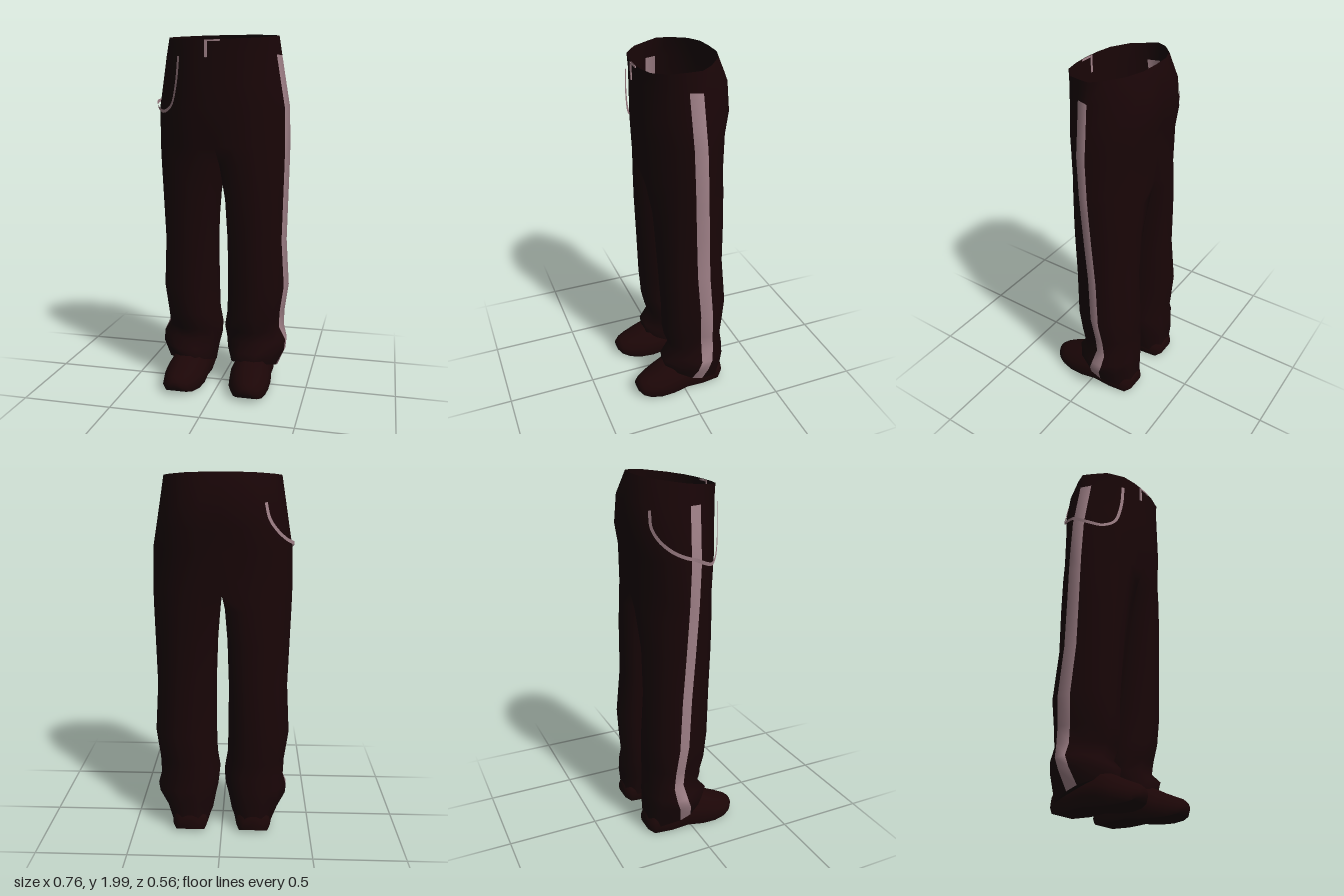
import * as THREE from 'three';
import { toCreasedNormals } from 'three/addons/utils/BufferGeometryUtils.js';

// Trouser rows, hem to waist: y, tilt (dy per z), inner x, outer x, front z, back z, stripe z,
// section blend (0 leg, 1 torso, 2 waist)
const ROWS = [
  [0.125, 0.35, 0.055, 0.318, 0.115, -0.255, -0.060, 0],
  [0.205, 0.10, 0.035, 0.362, 0.118, -0.262, -0.080, 0],
  [0.262, 0.05, 0.022, 0.366, 0.064, -0.258, -0.100, 0],
  [0.330, 0.00, 0.014, 0.346, 0.088, -0.250, -0.110, 0],
  [0.420, 0.00, 0.030, 0.350, 0.108, -0.256, -0.103, 0],
  [0.580, 0.00, 0.035, 0.374, 0.116, -0.260, -0.090, 0],
  [0.850, 0.00, 0.036, 0.360, 0.132, -0.240, -0.070, 0.2],
  [1.100, 0.00, 0.028, 0.368, 0.148, -0.243, -0.055, 0.45],
  [1.290, 0.00, 0.013, 0.374, 0.160, -0.245, -0.045, 0.75],
  [1.390, 0.00, 0.000, 0.376, 0.168, -0.246, -0.040, 1],
  [1.600, 0.00, 0.000, 0.372, 0.180, -0.250, -0.030, 1],
  [1.720, 0.00, 0.000, 0.352, 0.185, -0.276, -0.025, 1.15],
  [1.875, 0.00, 0.000, 0.327, 0.185, -0.270, -0.018, 1.6],
  [1.972, -0.12, 0.000, 0.310, 0.187, -0.218, -0.018, 2],
];
const CROTCH = 9, STRIPE_TOP = 12, STRIPE_COL = 4, STRIPE_HALF = 0.032;

// Section corners as [u, v]: u inner to outer, v back to front; null marks the stripe edges
const SECTIONS = [
  [[0.1, 0.62], [0.3, 0.92], [0.6, 0.95], [0.855, 0.6], null, null,
    [0.85, -0.68], [0.61, -0.96], [0.3, -0.96], [0.1, -0.65], [0, -0.2], [0, 0.25]],
  [[0, 1], [0.3, 0.97], [0.56, 0.84], [0.81, 0.49], null, null,
    [0.83, -0.58], [0.57, -0.88], [0.3, -0.99], [0, -1], [0, -0.4], [0, 0.4]],
  [[0, 1], [0.3, 0.97], [0.58, 0.87], [0.84, 0.54], null, null,
    [0.87, -0.48], [0.61, -0.82], [0.33, -0.98], [0, -1], [0, -0.4], [0, 0.4]],
];
const N = SECTIONS[0].length;

function trouserRing([y, tilt, xi, xo, zf, zb, zs, blend]) {
  const s = Math.min(Math.floor(blend), 1), k = blend - s;
  return SECTIONS[s].map((from, i) => {
    // The stripe turns slightly to the front above the shin
    const isFrontEdge = i === STRIPE_COL;
    let x = xo - (isFrontEdge && y > 0.3 ? 0.02 : 0);
    let z = zs + (isFrontEdge ? STRIPE_HALF : -STRIPE_HALF);
    if (from) {
      const to = SECTIONS[s + 1][i];
      x = xi + (xo - xi) * THREE.MathUtils.lerp(from[0], to[0], k);
      z = (zf + zb) / 2 + THREE.MathUtils.lerp(from[1], to[1], k) * (zf - zb) / 2;
    }
    return [x, y + tilt * z, z];
  });
}

function makeGeometry(points, indices) {
  const g = new THREE.BufferGeometry();
  g.setAttribute('position', new THREE.Float32BufferAttribute(points.flat(), 3));
  g.setIndex(indices);
  g.computeVertexNormals();
  return g;
}

// One half of the trousers: a full tube below the crotch, a half shell above it
function trouserHalf(side) {
  const cloth = [], stripe = [];
  const points = ROWS.flatMap(trouserRing).map(([x, y, z]) => [x * side, y, z]);
  for (let j = 0; j < ROWS.length - 1; j++) {
    for (let i = 0; i < N; i++) {
      if (j >= CROTCH && i >= 9) continue;
      const a = j * N + i, b = j * N + (i + 1) % N, c = b + N, d = a + N;
      const faces = side > 0 ? [a, b, c, a, c, d] : [a, c, b, a, d, c];
      (i === STRIPE_COL && j < STRIPE_TOP ? stripe : cloth).push(...faces);
    }
  }
  const g = makeGeometry(points, [...cloth, ...stripe]);
  g.addGroup(0, cloth.length, 0);
  g.addGroup(cloth.length, stripe.length, 1);
  // Make the shading continuous across the centre seam
  const normal = g.attributes.normal, v = new THREE.Vector3();
  for (let j = CROTCH; j < ROWS.length; j++) {
    for (const i of [0, 9]) {
      v.fromBufferAttribute(normal, j * N + i).setX(0).normalize();
      normal.setXYZ(j * N + i, v.x, v.y, v.z);
    }
  }
  return g;
}

// Underside closing the hem round the shoe
function hemGeometry(side) {
  const points = trouserRing(ROWS[0]).map(([x, y, z]) => [x * side, y, z]);
  const indices = [];
  for (let i = 0; i < N; i++) {
    const k = (i + 1) % N;
    indices.push(N, ...(side > 0 ? [k, i] : [i, k]));
  }
  points.push([side * 0.185, 0.10, -0.07]);
  return makeGeometry(points, indices);
}

// Shoe rows, heel to toe: z, centre x, half width, bottom y, top y
const SHOE = [
  [-0.255, 0.180, 0.060, 0.025, 0.10],
  [-0.225, 0.180, 0.095, 0.008, 0.15],
  [-0.120, 0.180, 0.110, 0.008, 0.19],
  [-0.020, 0.182, 0.112, 0.016, 0.20],
  [0.070, 0.186, 0.120, 0.006, 0.19],
  [0.150, 0.192, 0.114, 0.004, 0.150],
  [0.215, 0.197, 0.094, 0.010, 0.122],
  [0.255, 0.200, 0.068, 0.022, 0.105],
  [0.280, 0.200, 0.036, 0.045, 0.085],
];
const SHOE_SECTION = [[-0.85, 0], [0.85, 0], [1, 0.25], [0.92, 0.55], [0.62, 0.87],
  [0.25, 1], [-0.25, 1], [-0.62, 0.87], [-0.92, 0.55], [-1, 0.25]];

function shoeGeometry(side) {
  const n = SHOE_SECTION.length, last = SHOE.length - 1, indices = [];
  const points = SHOE.flatMap(([z, xc, hw, y0, y1]) =>
    SHOE_SECTION.map(([u, v]) => [side * xc + hw * u, y0 + (y1 - y0) * v, z]));
  for (const j of [0, last]) {
    const [z, xc, , y0, y1] = SHOE[j];
    points.push([side * xc, (y0 + y1) / 2, z]);
  }
  const heel = points.length - 2, toe = points.length - 1;
  for (let i = 0; i < n; i++) {
    const k = (i + 1) % n;
    for (let j = 0; j < last; j++) {
      const a = j * n + i, b = j * n + k;
      indices.push(a, b, b + n, a, b + n, a + n);
    }
    indices.push(heel, k, i, toe, last * n + i, last * n + k);
  }
  return toCreasedNormals(makeGeometry(points, indices), 0.9);
}

// Flat ribbon that follows a curve and faces away from the body's axis
function ribbonGeometry(curve, halfWidth, steps) {
  const points = [], indices = [];
  for (let i = 0; i <= steps; i++) {
    const p = curve.getPoint(i / steps);
    const outward = new THREE.Vector3(p.x, 0, p.z * 1.6);
    const across = curve.getTangent(i / steps).cross(outward).setLength(halfWidth);
    points.push(p.clone().add(across).toArray(), p.clone().sub(across).toArray());
    const a = 2 * i;
    if (i < steps) indices.push(a, a + 2, a + 1, a + 1, a + 2, a + 3);
  }
  return makeGeometry(points, indices);
}

export function createModel() {
  const cloth = new THREE.MeshStandardMaterial({ color: 0x190507, side: THREE.DoubleSide });
  cloth.name = 'dark maroon cloth';
  const trim = new THREE.MeshStandardMaterial({ color: 0xa08188, side: THREE.DoubleSide });
  trim.name = 'dusty pink trim';
  const leather = new THREE.MeshStandardMaterial({ color: 0x1c0607 });
  leather.name = 'dark maroon leather';

  const model = new THREE.Group();
  model.name = 'trousersAndShoes';
  const add = (name, geometry, material) => {
    const mesh = new THREE.Mesh(geometry, material);
    mesh.name = name;
    model.add(mesh);
    return mesh;
  };

  for (const [side, label] of [[1, 'left'], [-1, 'right']]) {
    add(label + 'TrouserHalf', trouserHalf(side), [cloth, trim]);
    add(label + 'HemUnderside', hemGeometry(side), cloth);
    add(label + 'Shoe', shoeGeometry(side), leather);
  }

  // Chain hanging round the right hip, front pocket to back pocket
  const chain = new THREE.CatmullRomCurve3([
    [-0.195, 1.865, 0.164], [-0.212, 1.72, 0.160], [-0.245, 1.61, 0.138], [-0.30, 1.575, 0.090],
    [-0.350, 1.59, 0.03], [-0.382, 1.625, -0.05], [-0.372, 1.635, -0.09],
    [-0.335, 1.66, -0.145], [-0.285, 1.71, -0.197], [-0.245, 1.77, -0.222], [-0.225, 1.85, -0.222],
  ].map((p) => new THREE.Vector3(...p)));
  add('hipChain', ribbonGeometry(chain, 0.009, 48), trim);

  // Fly stitching and button bar on the waistband
  add('flyStitch', new THREE.BoxGeometry(0.014, 0.09, 0.008), trim).position.set(-0.04, 1.902, 0.185);
  add('waistButtonBar', new THREE.BoxGeometry(0.085, 0.008, 0.008), trim).position.set(-0.005, 1.943, 0.185);
  return model;
}
